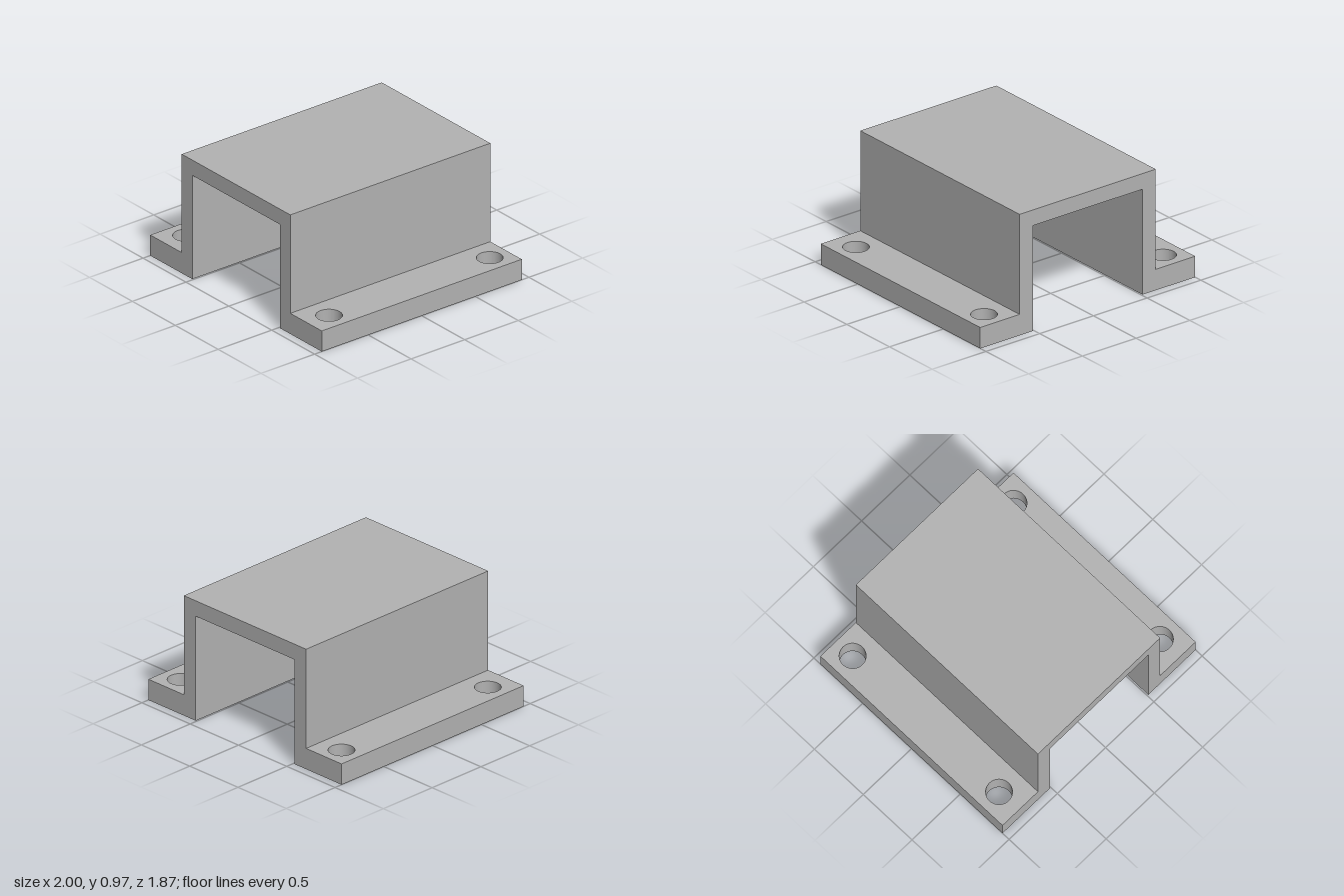
import * as THREE from 'three';
import { toCreasedNormals } from 'three/addons/utils/BufferGeometryUtils.js';

const HALF_WIDTH = 1, HALF_DEPTH = 0.933, HEIGHT = 0.97;
const INNER = 0.51, OUTER = 0.633; // faces of the side walls
const FLANGE_TOP = 0.168, ROOF_UNDER = 0.845;
const HOLE_X = 0.833, HOLE_RADIUS = 0.098, HOLE_Z = [-0.768, 0.732];

const polygon = (points) => new THREE.Shape(points.map(([x, y]) => new THREE.Vector2(x, y)));

// Extrude with smooth hole walls and sharp edges
const extrude = (shape, depth) => toCreasedNormals(
  new THREE.ExtrudeGeometry(shape, { depth, bevelEnabled: false, curveSegments: 32 }), 0.5);

export function createModel() {
  const model = new THREE.Group();
  model.name = 'mountingBracket';
  const grey = new THREE.MeshStandardMaterial({ color: 0xb2b2b2 });
  grey.name = 'grey';

  // Inverted U channel standing on the flanges
  const channel = extrude(polygon([
    [INNER, FLANGE_TOP], [OUTER, FLANGE_TOP], [OUTER, HEIGHT], [-OUTER, HEIGHT],
    [-OUTER, FLANGE_TOP], [-INNER, FLANGE_TOP], [-INNER, ROOF_UNDER], [INNER, ROOF_UNDER],
  ]), HALF_DEPTH * 2);
  channel.translate(0, 0, -HALF_DEPTH);
  const channelMesh = new THREE.Mesh(channel, grey);
  channelMesh.name = 'channel';
  model.add(channelMesh);

  // Foot flanges, each with two bolt holes
  for (const [side, name] of [[1, 'leftFlange'], [-1, 'rightFlange']]) {
    const a = Math.min(side * INNER, side * HALF_WIDTH);
    const b = Math.max(side * INNER, side * HALF_WIDTH);
    const plate = polygon([[a, -HALF_DEPTH], [b, -HALF_DEPTH], [b, HALF_DEPTH], [a, HALF_DEPTH]]);
    for (const z of HOLE_Z) {
      plate.holes.push(new THREE.Path().absarc(side * HOLE_X, -z, HOLE_RADIUS, 0, Math.PI * 2, true));
    }
    const flange = new THREE.Mesh(extrude(plate, FLANGE_TOP).rotateX(-Math.PI / 2), grey);
    flange.name = name;
    model.add(flange);
  }
  return model;
}
